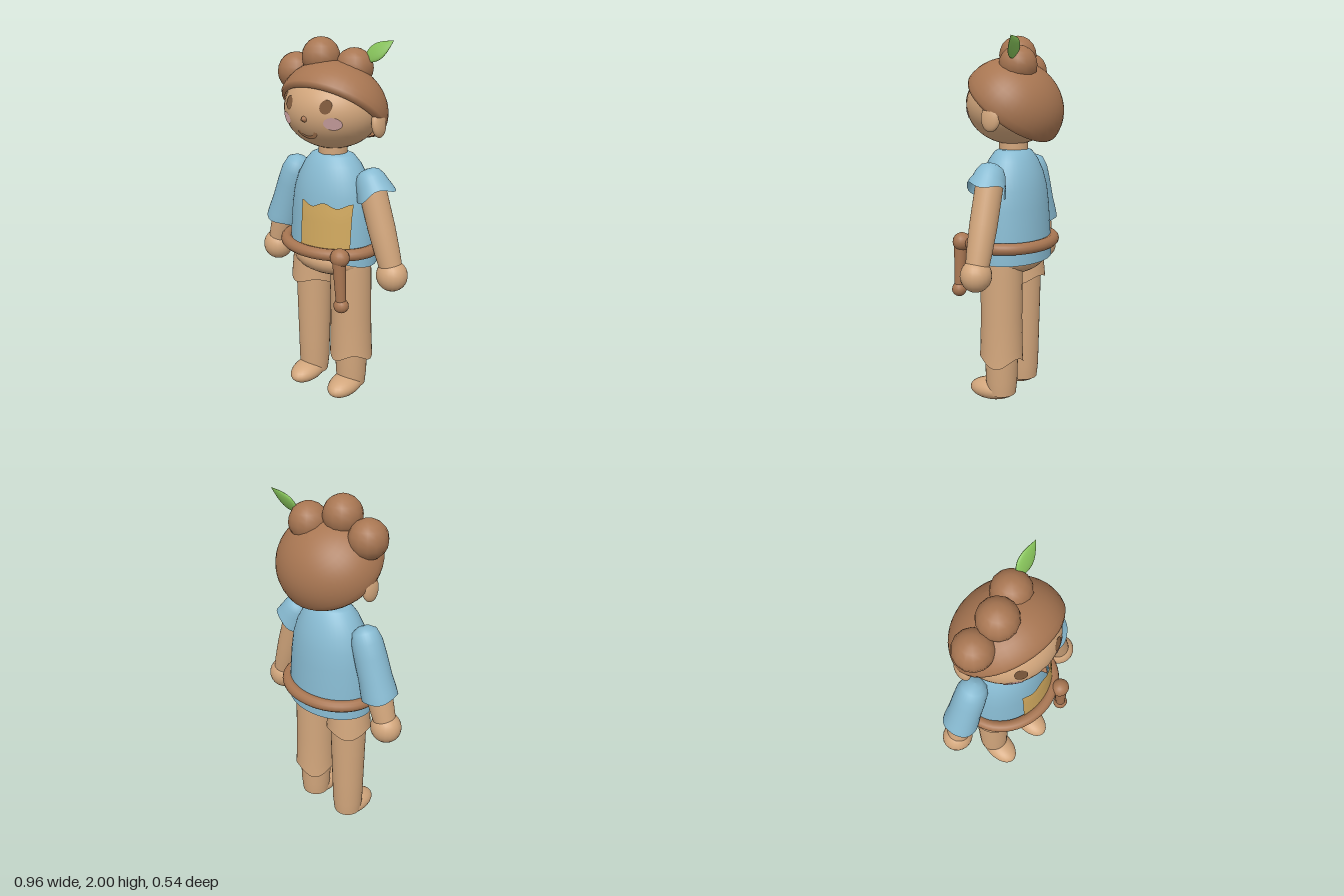
import * as THREE from 'three';

const flat = (name, color, side = THREE.FrontSide) => {
  const m = new THREE.MeshStandardMaterial({ color, side });
  m.name = name;
  return m;
};
const v3 = (a) => new THREE.Vector3(...a);

export function createModel() {
  const skin = flat('skin', 0xd2a67c, THREE.DoubleSide);
  const blue = flat('shirt blue', 0x88bbd2, THREE.DoubleSide);
  const brown = flat('hair brown', 0xa87652, THREE.DoubleSide);
  const tan = flat('patch yellow', 0xd0a85e, THREE.DoubleSide);
  const green = flat('leaf green', 0x86c25a);
  const dark = flat('face brown', 0x8a6242, THREE.DoubleSide);
  const blush = flat('blush', 0xc39a9a, THREE.DoubleSide);

  const model = new THREE.Group();
  model.name = 'character';
  const add = (name, geo, mat, pos = [0, 0, 0]) => {
    const m = new THREE.Mesh(geo, mat);
    m.name = name;
    m.position.set(...pos);
    model.add(m);
    return m;
  };
  const ball = (name, mat, pos, size, seg = 24) => {
    const m = add(name, new THREE.SphereGeometry(1, seg, Math.ceil(seg * 0.7)), mat, pos);
    m.scale.set(...size);
    return m;
  };
  const lathe = (pts, seg = 32) =>
    new THREE.LatheGeometry(pts.map(([r, y]) => new THREE.Vector2(r, y)), seg);
  const eachVertex = (geo, fn) => {
    const p = geo.attributes.position;
    const v = new THREE.Vector3();
    for (let i = 0; i < p.count; i++) {
      fn(v.fromBufferAttribute(p, i));
      p.setXYZ(i, v.x, v.y, v.z);
    }
    return geo;
  };
  // Turned limb from its lower end to its upper end; profile is [radius, fraction],
  // and the lower edge can be waved like torn cloth
  const limb = (name, mat, from, to, profile, wave = 0) => {
    const a = v3(from), d = v3(to).sub(a), len = d.length();
    const geo = lathe(profile.map(([r, t]) => [r, t * len]));
    if (wave) eachVertex(geo, (v) => {
      if (v.y < 0.03) v.y += wave * Math.sin(Math.atan2(v.x, v.z) * 3 - 0.6);
    });
    const m = add(name, geo, mat, from);
    m.quaternion.setFromUnitVectors(new THREE.Vector3(0, 1, 0), d.normalize());
    return m;
  };

  // Head, ears and neck
  const HEAD = [0, 1.64, 0], HS = [0.263, 0.21, 0.247];
  ball('head', skin, HEAD, HS, 40);
  limb('neck', skin, [0, 1.36, 0], [0, 1.5, 0], [[0.078, 0], [0.078, 1]]);
  for (const s of [-1, 1]) {
    ball('ear', skin, [s * 0.276, 1.585, -0.015], [0.028, 0.072, 0.054]).rotation.z = s * 0.12;
  }
  const nose = add('nose', new THREE.ConeGeometry(0.025, 0.045, 8), brown, [0, 1.618, 0.252]);
  nose.rotation.x = Math.PI / 2;

  // Face details laid on the surface of the head
  const onFace = (name, geo, mat, x, y, sx, sy, lift = 0.003) =>
    add(name, eachVertex(geo, (v) => {
      const px = x + v.x * sx, py = y + v.y * sy - HEAD[1];
      v.set(px, py + HEAD[1],
        HS[2] * Math.sqrt(1 - (px / HS[0]) ** 2 - (py / HS[1]) ** 2) + lift);
    }), mat);
  for (const s of [-1, 1]) {
    onFace('eye', new THREE.CircleGeometry(1, 24), dark, s * 0.115, 1.685, 0.029, 0.034);
    onFace('cheek', new THREE.CircleGeometry(1, 24), blush, s * 0.145, 1.602, 0.04, 0.032);
  }
  onFace('mouth', new THREE.RingGeometry(0.7, 1, 20, 1, Math.PI * 1.08, Math.PI * 0.84),
    dark, 0, 1.562, 0.064, 0.052);

  // Tilted hair cap with a lip turned inward
  const cap = [[0.9, -0.09], [0.97, -0.07], [1, 0]];
  for (let i = 1; i <= 12; i++) {
    const a = (i / 12) * Math.PI / 2;
    cap.push([Math.cos(a), Math.sin(a)]);
  }
  const hair = add('hair', lathe(cap, 40), brown, [0, 1.63, 0]);
  hair.scale.set(0.3, 0.245, 0.275);
  hair.rotation.x = -0.678;

  // Hair buns and leaf
  for (const [x, y, z] of [[-0.225, 1.812, 0.02], [-0.07, 1.897, 0.01], [0.083, 1.845, -0.07]]) {
    ball('hairBun', brown, [x, y, z], [0.102, 0.102, 0.102], 14);
  }
  const leafProfile = [];
  for (let i = 0; i <= 12; i++) {
    const t = i / 12;
    leafProfile.push([Math.sin(Math.PI * t ** 0.85) * 0.048, (t - 0.5) * 0.19]);
  }
  const leaf = add('leaf', lathe(leafProfile, 20), green, [0.205, 1.933, -0.107]);
  leaf.scale.z = 0.3;
  leaf.rotation.set(-0.42, 0, -0.92);

  // Shirt body, raised at the front hem
  const torso = [[0.262, 0.81], [0.26, 0.87], [0.255, 0.95], [0.243, 1.1], [0.228, 1.2],
    [0.203, 1.28], [0.165, 1.35], [0.125, 1.395], [0.1, 1.405], [0, 1.407]];
  const shirt = add('shirt', eachVertex(lathe(torso, 40), (v) => {
    if (v.y < 0.82) v.y += 0.055 * Math.max(0, v.z / 0.26) ** 2;
  }), blue);
  shirt.scale.z = 0.75;

  // Cloth patch curved around the shirt
  const radiusAt = (y) => {
    const i = torso.findIndex((p) => p[1] >= y);
    const [r0, y0] = torso[i - 1], [r1, y1] = torso[i];
    return r0 + (r1 - r0) * (y - y0) / (y1 - y0);
  };
  const patch = new THREE.PlaneGeometry(1, 1, 20, 8);
  eachVertex(patch, (v) => {
    const u = v.x + 0.5, t = v.y + 0.5;
    const x = -0.065 + 0.275 * u;
    const y = 0.92 + t * (0.242 + 0.012 * Math.cos(u * Math.PI * 4));
    v.set(x, y, 0.75 * Math.sqrt((radiusAt(y) + 0.02) ** 2 - x * x));
  });
  patch.computeVertexNormals();
  add('shirtPatch', patch, tan);

  // Belt, knot and hanging end
  const beltCurve = new THREE.CatmullRomCurve3(Array.from({ length: 24 }, (_, i) => {
    const a = (i / 24) * Math.PI * 2;
    return new THREE.Vector3(0.27 * Math.sin(a), 0.905, 0.01 + 0.22 * Math.cos(a));
  }), true);
  add('belt', new THREE.TubeGeometry(beltCurve, 48, 0.032, 12, true), brown);
  ball('beltKnot', brown, [0.2, 0.908, 0.212], [0.053, 0.05, 0.05], 16);
  limb('beltEnd', brown, [0.217, 0.64, 0.222], [0.2, 0.9, 0.22], [[0.026, 0], [0.036, 1]]);
  ball('beltTip', brown, [0.217, 0.643, 0.222], [0.042, 0.04, 0.04], 14);

  // Arms and hands
  for (const s of [-1, 1]) {
    limb('arm', skin, [s * 0.39, 0.82, 0.008], [s * 0.255, 1.25, 0.005],
      [[0.06, 0], [0.067, 0.2], [0.073, 0.5], [0.073, 1]]);
    ball('hand', skin, [s * 0.395, 0.79, 0.01], [0.086, 0.086, 0.082], 20);
  }
  // Long sleeve on the right, torn short sleeve on the left
  limb('longSleeve', blue, [-0.352, 0.965, 0.003], [-0.225, 1.345, 0.003],
    [[0.098, 0], [0.097, 0.1], [0.09, 0.3], [0.087, 0.6], [0.082, 0.8], [0.065, 0.94], [0.035, 0.99], [0, 1]], 0.008);
  limb('shortSleeve', blue, [0.285, 1.215, 0.008], [0.22, 1.345, 0.005],
    [[0.106, 0], [0.1, 0.15], [0.088, 0.4], [0.078, 0.65], [0.06, 0.87], [0.033, 0.97], [0, 1]], 0.016);

  // Hips, legs and feet
  ball('hips', skin, [0, 0.82, 0.005], [0.235, 0.1, 0.175]);
  for (const s of [-1, 1]) {
    limb('leg', skin, [s * 0.134, 0.05, 0.005], [s * 0.13, 0.85, 0.005],
      [[0.08, 0], [0.088, 0.1], [0.092, 0.3], [0.1, 0.7], [0.1, 1]]);
    ball('foot', skin, [s * 0.136, 0.064, 0.06], [0.083, 0.06, 0.138]).rotation.x = 0.06;
  }
  // Trousers with one long and one torn short leg
  limb('longTrouserLeg', skin, [0.133, 0.25, 0.005], [0.125, 0.85, 0.008],
    [[0.121, 0], [0.118, 0.1], [0.114, 0.4], [0.115, 0.8], [0.112, 1]], 0.025);
  limb('shortTrouserLeg', skin, [-0.133, 0.665, 0.005], [-0.125, 0.85, 0.008],
    [[0.126, 0], [0.122, 0.3], [0.116, 0.8], [0.112, 1]], 0.018);

  return model;
}
